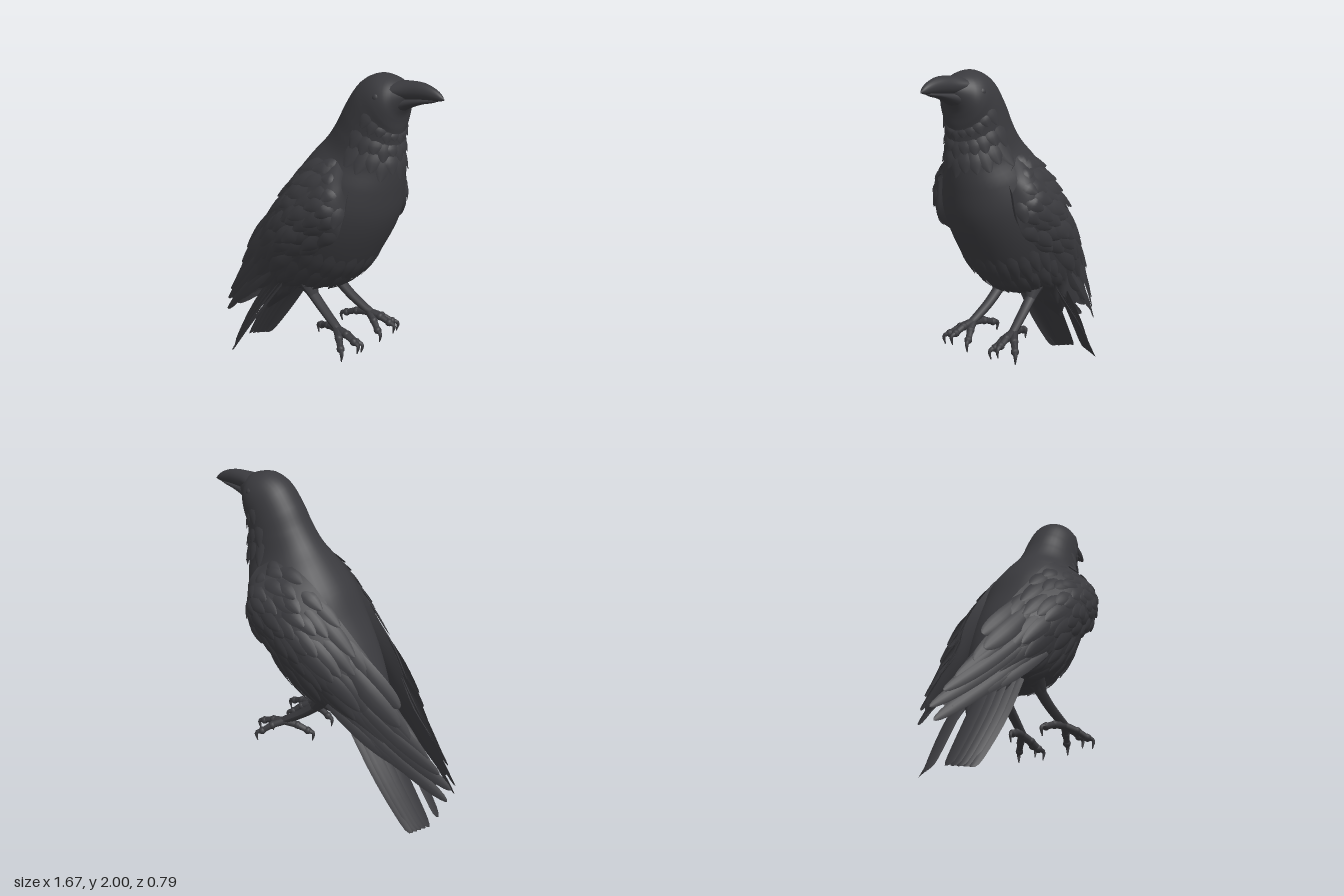
import * as THREE from 'three';
import { ParametricGeometry } from 'three/addons/geometries/ParametricGeometry.js';
import { mergeGeometries } from 'three/addons/utils/BufferGeometryUtils.js';

const plumage = new THREE.MeshStandardMaterial({ color: 0x3a3a3e, side: THREE.DoubleSide });
const V = (x, y, z = 0) => new THREE.Vector3(x, y, z);

function add(parent, name, geometry) {
  const mesh = new THREE.Mesh(geometry, plumage);
  mesh.name = name;
  parent.add(mesh);
  return mesh;
}

// Surface of elliptical sections [topX, topY, bottomX, bottomY, halfWidth]; u runs along, v around from the top
function loft(sections) {
  const top = new THREE.CatmullRomCurve3(sections.map(s => V(s[0], s[1], s[4])));
  const bottom = new THREE.CatmullRomCurve3(sections.map(s => V(s[2], s[3], s[4])));
  return (u, v) => {
    const a = top.getPoint(u), b = bottom.getPoint(u), k = (1 - Math.cos(v * Math.PI * 2)) / 2;
    const width = a.z;
    a.lerp(b, k);
    a.z = width * Math.sin(v * Math.PI * 2);
    return a;
  };
}
const skin = (surface, nu, nv) => new ParametricGeometry((u, v, p) => p.copy(surface(u, v)), nu, nv);

// One curved vane through three points, facing along the normal; rows crowd towards the rounded tip
function feather(p0, p1, p2, normal, halfWidth, bluntness = 5) {
  const curve = new THREE.CatmullRomCurve3([p0, p1, p2]);
  return new ParametricGeometry((row, s, p) => {
    const t = 1 - (1 - row) ** 2, across = s * 2 - 1;
    const side = normal.clone().cross(curve.getTangent(t)).normalize();
    const w = halfWidth * (0.7 + 0.3 * Math.sin(t * Math.PI)) * Math.sqrt(1.001 - t ** bluntness);
    p.copy(curve.getPoint(t)).addScaledVector(side, across * w)
      .addScaledVector(normal, -0.22 * w * across * across);
  }, 9, 4);
}

function normalAt(surface, u, v) {
  const e = 0.005, p = surface(u, v);
  return surface(u + e, v).sub(p).cross(surface(u, v + e).sub(p)).normalize();
}

// A feather lying on a surface, its tip lifted away
function laid(surface, u0, v0, u1, v1, halfWidth, lift, bluntness) {
  const um = (u0 + u1) / 2, vm = (v0 + v1) / 2, n = normalAt(surface, um, vm);
  return feather(surface(u0, v0).addScaledVector(n, -0.004), surface(um, vm).addScaledVector(n, lift * 0.7),
    surface(u1, v1).addScaledVector(n, lift), n, halfWidth, bluntness);
}

// Tapered round limb
function limb(points, r0, r1, segments = 12) {
  const path = new THREE.CatmullRomCurve3(points);
  const geo = new THREE.TubeGeometry(path, segments, 1, 8);
  const pos = geo.attributes.position, p = V(0, 0);
  for (let i = 0; i < pos.count; i++) {
    const t = Math.floor(i / 9) / segments, c = path.getPointAt(t);
    p.fromBufferAttribute(pos, i).sub(c).multiplyScalar(r0 + (r1 - r0) * t).add(c);
    pos.setXYZ(i, p.x, p.y, p.z);
  }
  geo.computeVertexNormals();
  return geo;
}

// Head, breast, belly and undertail
const bodySurface = loft([
  [0.62, 1.95, 0.62, 1.86, 0.045], [0.56, 1.975, 0.585, 1.8, 0.09], [0.5, 1.995, 0.575, 1.76, 0.125],
  [0.42, 2.0, 0.57, 1.72, 0.145], [0.32, 1.95, 0.565, 1.69, 0.155], [0.23, 1.83, 0.56, 1.64, 0.165],
  [0.17, 1.72, 0.56, 1.58, 0.175], [0.1, 1.62, 0.56, 1.48, 0.195], [0, 1.51, 0.55, 1.36, 0.26],
  [-0.1, 1.38, 0.52, 1.2, 0.31], [-0.18, 1.22, 0.44, 1.02, 0.32], [-0.27, 1.05, 0.32, 0.83, 0.29],
  [-0.34, 0.88, 0.15, 0.69, 0.24], [-0.38, 0.75, -0.02, 0.64, 0.19], [-0.41, 0.64, -0.14, 0.63, 0.15],
  [-0.44, 0.51, -0.26, 0.5, 0.11], [-0.49, 0.36, -0.47, 0.32, 0.01],
]);

// Wing surface of sections [upper xyz, lower xyz, outer bulge, inner bulge]
const wingSections = [
  [0.37, 1.49, 0.23, 0.42, 1.36, 0.26, 0.03, 0.03], [0.25, 1.55, 0.19, 0.39, 1.15, 0.3, 0.105, 0.1],
  [0.04, 1.46, 0.19, 0.23, 1.02, 0.31, 0.115, 0.1], [-0.12, 1.29, 0.17, 0.06, 0.93, 0.32, 0.1, 0.1],
  [-0.28, 1.1, 0.14, -0.08, 0.82, 0.3, 0.08, 0.07], [-0.4, 0.92, 0.11, -0.2, 0.7, 0.25, 0.06, 0.04],
  [-0.49, 0.73, 0.08, -0.34, 0.59, 0.2, 0.045, 0.02], [-0.64, 0.55, 0.055, -0.52, 0.45, 0.14, 0.025, 0.01],
  [-0.78, 0.35, 0.04, -0.74, 0.3, 0.07, 0.006, 0.004],
];
const upperEdge = new THREE.CatmullRomCurve3(wingSections.map(s => V(s[0], s[1], s[2])));
const lowerEdge = new THREE.CatmullRomCurve3(wingSections.map(s => V(s[3], s[4], s[5])));
const bulges = new THREE.CatmullRomCurve3(wingSections.map((s, i) => V(s[6], s[7], i * 0.1)));
function wingPoint(u, k, inner) {
  const p = upperEdge.getPoint(u).lerp(lowerEdge.getPoint(u), k), b = bulges.getPoint(u);
  p.z += Math.sin(Math.PI * k) * (inner ? -b.y : b.x);
  return p;
}
const wingOuter = (u, v) => wingPoint(u, v, false);
const wingShell = (u, v) => (v <= 0.5 ? wingPoint(u, v * 2, false) : wingPoint(u, 2 - v * 2, true));

function buildWing(side) {
  const wing = new THREE.Group();
  wing.name = 'wing';
  side.add(wing);
  add(wing, 'wingShell', skin(wingShell, 40, 32));

  // Coverts in overlapping rows: [start u, count, length, half width, lift]
  const rows = [
    [0.66, 4, 0.22, 0.038, 0.012], [0.54, 5, 0.25, 0.045, 0.014], [0.43, 6, 0.25, 0.046, 0.018],
    [0.35, 7, 0.18, 0.046, 0.02], [0.28, 8, 0.12, 0.042, 0.024], [0.22, 8, 0.1, 0.042, 0.024],
    [0.16, 8, 0.1, 0.042, 0.022], [0.1, 7, 0.1, 0.04, 0.018], [0.05, 5, 0.09, 0.035, 0.012],
  ];
  const coverts = [];
  rows.forEach(([u, count, length, width, lift], r) => {
    for (let i = 0; i < count; i++) {
      const v = 0.07 + 0.86 * (i + (r % 2) * 0.35) / (count - 0.65);
      const wobble = 0.025 * Math.sin(i * 2.3 + r * 1.7);
      coverts.push(laid(wingOuter, u + wobble, v, u + wobble + length, v + 0.03 * Math.sin(i * 3.1 + r),
        width, lift * (1 + 0.4 * Math.sin(i * 1.9 + r))));
    }
  });
  add(wing, 'wingCoverts', mergeGeometries(coverts));

  // Long flight feathers fanning to separate tips: [root u, root v, tip]
  const flight = [
    [0.5, 0.1, V(-0.53, 0.78, 0.12)], [0.52, 0.25, V(-0.55, 0.68, 0.15)], [0.55, 0.2, V(-0.6, 0.6, 0.12)],
    [0.6, 0.3, V(-0.7, 0.48, 0.08)], [0.62, 0.45, V(-0.77, 0.39, 0.06)], [0.64, 0.55, V(-0.835, 0.29, 0.03)],
    [0.64, 0.75, V(-0.825, 0.22, 0.05)], [0.6, 0.85, V(-0.73, 0.31, 0.09)], [0.56, 0.92, V(-0.58, 0.42, 0.15)],
  ];
  add(wing, 'flightFeathers', mergeGeometries(flight.map(([u, v, tip], i) => {
    const root = wingOuter(u, v), mid = root.clone().lerp(tip, 0.5);
    mid.z += 0.015;
    return feather(root, mid, tip, V(-0.45, 0.3, 0.84).normalize(), i < 3 ? 0.055 : 0.043, 9);
  })));
}

// Broad square-ended tail half, its outer feathers turned down
function buildTail(side) {
  const feathers = [];
  for (let i = 0; i < 5; i++) {
    const root = V(-0.34 + 0.035 * i, 0.66 - 0.005 * i, 0.045 + 0.022 * i);
    const tip = V(-0.725 + 0.015 * i, 0.014 - 0.002 * i, 0.062 + 0.025 * i);
    const mid = root.clone().lerp(tip, 0.5).add(V(-0.005, 0.005, 0.014));
    feathers.push(feather(root, mid, tip, V(-0.83, 0.53, 0.13 * i).normalize(), 0.046, 30));
  }
  add(side, 'tailFeathers', mergeGeometries(feathers));
}

function buildLeg(side) {
  const leg = new THREE.Group();
  leg.name = 'leg';
  side.add(leg);
  add(leg, 'thigh', limb([V(-0.06, 0.78, 0.12), V(0, 0.7, 0.12), V(0.06, 0.62, 0.125)], 0.09, 0.028));
  add(leg, 'shank', limb([V(0, 0.67, 0.12), V(0.13, 0.57, 0.13), V(0.27, 0.485, 0.15)], 0.034, 0.025));
  const ankle = V(0.26, 0.485, 0.15);
  const toes = [V(0.405, 0.455, 0.165), V(0.37, 0.415, 0.1), V(0.37, 0.425, 0.24), V(0.11, 0.445, 0.115)];
  for (const tip of toes) {
    const dir = tip.clone().sub(ankle).setY(0).normalize();
    const mid = ankle.clone().lerp(tip, 0.55).add(V(0, 0.008, 0));
    add(leg, 'toe', limb([ankle, mid, tip], 0.025, 0.018));
    for (const [joint, r] of [[mid, 0.025], [tip, 0.024]]) {
      add(leg, 'toeJoint', new THREE.SphereGeometry(r, 10, 8)).position.copy(joint);
    }
    add(leg, 'claw', limb([tip, tip.clone().addScaledVector(dir, 0.036).add(V(0, -0.012, 0)),
      tip.clone().addScaledVector(dir, 0.03).add(V(0, -0.065, 0))], 0.018, 0.003, 8));
  }
}

export function createModel() {
  const bird = new THREE.Group();
  bird.name = 'bird';
  add(bird, 'body', skin(bodySurface, 64, 40));

  // Ragged feather hems: [name, start u, length, count, from v, to v, half width, lift]
  const hems = [
    ['throatFeathers', 0.23, 0.07, 11, 0.28, 0.72, 0.034, 0.012],
    ['neckFeathers', 0.31, 0.08, 11, 0.27, 0.73, 0.04, 0.016],
    ['neckRuff', 0.37, 0.08, 11, 0.28, 0.72, 0.045, 0.02],
    ['bellyFeathers', 0.64, 0.07, 13, 0.3, 0.7, 0.035, 0.014],
    ['bellyFeathers', 0.69, 0.07, 12, 0.28, 0.72, 0.035, 0.016],
    ['ventFeathers', 0.74, 0.09, 9, 0.28, 0.72, 0.035, 0.016],
    ['undertailFeathers', 0.82, 0.11, 7, 0.28, 0.72, 0.03, 0.01],
  ];
  for (const [name, u, length, count, v0, v1, width, lift] of hems) {
    const parts = [];
    for (let i = 0; i < count; i++) {
      const v = v0 + (v1 - v0) * i / (count - 1), end = u + length * (1 + 0.15 * Math.sin(i * 2.7));
      parts.push(laid(bodySurface, u, v, end, v, width, lift, 3));
    }
    add(bird, name, mergeGeometries(parts));
  }

  // Beak halves from tip to base, meeting along the mouth line
  add(bird, 'upperBeak', skin(loft([
    [0.833, 1.918, 0.832, 1.912, 0.002], [0.81, 1.942, 0.81, 1.905, 0.016], [0.77, 1.965, 0.77, 1.9, 0.028],
    [0.7, 1.984, 0.7, 1.893, 0.042], [0.62, 1.984, 0.62, 1.88, 0.06], [0.54, 1.975, 0.55, 1.875, 0.09],
  ]), 24, 20));
  add(bird, 'lowerBeak', skin(loft([
    [0.8, 1.91, 0.8, 1.903, 0.003], [0.76, 1.91, 0.76, 1.888, 0.022], [0.7, 1.906, 0.7, 1.872, 0.036],
    [0.62, 1.905, 0.62, 1.838, 0.054], [0.54, 1.91, 0.56, 1.8, 0.085],
  ]), 20, 16));

  for (const [name, mirror] of [['rightSide', 1], ['leftSide', -1]]) {
    const side = new THREE.Group();
    side.name = name;
    side.scale.z = mirror;
    bird.add(side);
    buildWing(side);
    buildTail(side);
    buildLeg(side);
    add(side, 'eye', new THREE.SphereGeometry(0.026, 14, 10)).position.set(0.49, 1.895, 0.115);
  }
  return bird;
}
